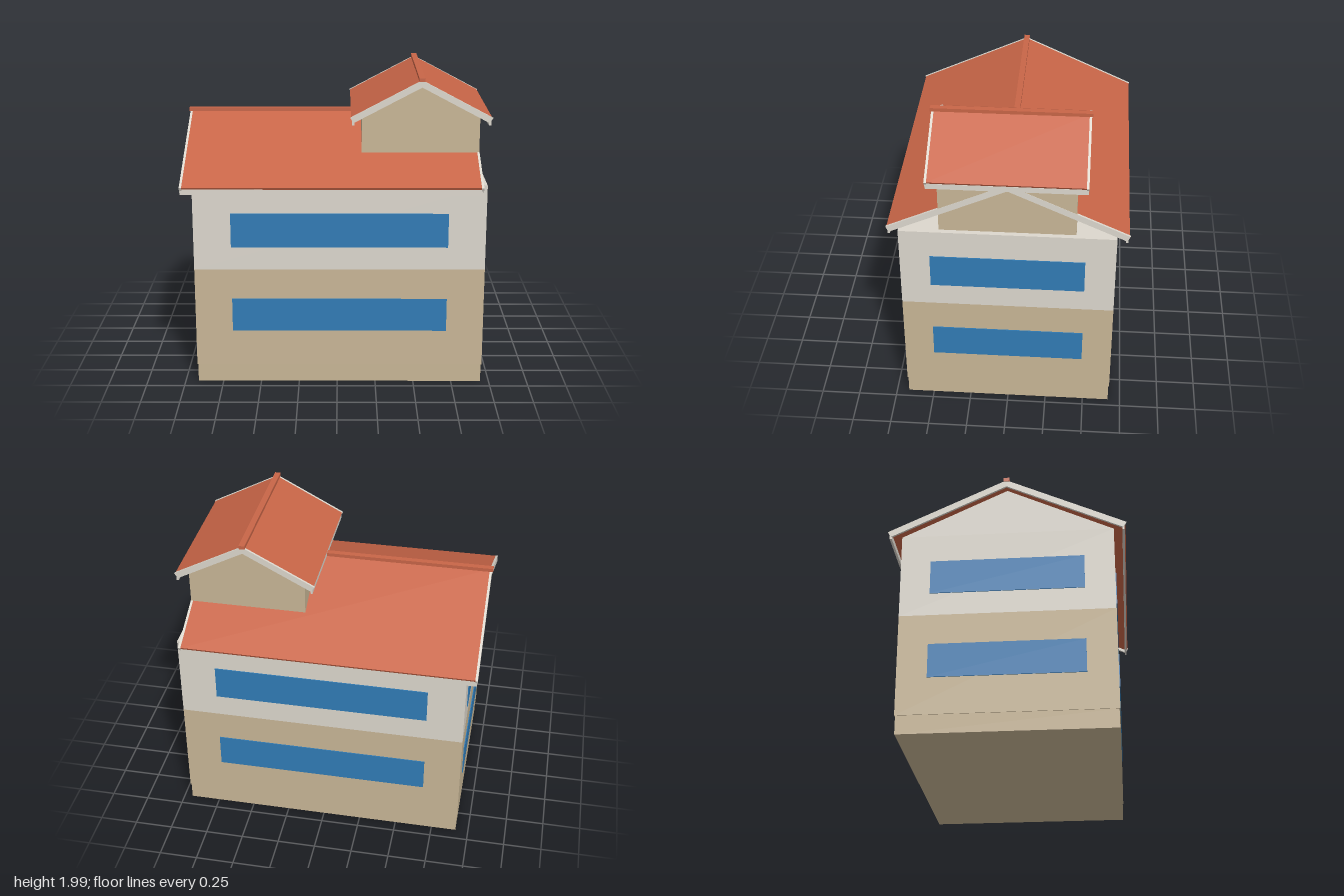
import * as THREE from 'three';

const mat = (name, color) => {
  const m = new THREE.MeshStandardMaterial({ color });
  m.name = name;
  return m;
};

export function createModel() {
  const house = new THREE.Group();
  house.name = 'house';
  const tan = mat('tan wall', 0xc8b696);
  const pale = mat('pale wall and trim', 0xdcd7cd);
  const red = mat('red roof', 0xc86547);
  const blue = mat('blue window', 0x317bb5);

  const add = (parent, name, geometry, material) => {
    const mesh = new THREE.Mesh(geometry, material);
    mesh.name = name;
    parent.add(mesh);
    return mesh;
  };
  // Box given by its limits on each axis
  const box = (parent, name, material, [x0, x1], [y0, y1], [z0, z1]) =>
    add(parent, name, new THREE.BoxGeometry(x1 - x0, y1 - y0, z1 - z0), material)
      .position.set((x0 + x1) / 2, (y0 + y1) / 2, (z0 + z1) / 2);
  // Outline in the local xy plane, extruded from z0 to z1
  const prism = (parent, name, material, points, z0, z1) => {
    const shape = new THREE.Shape(points.map(([x, y]) => new THREE.Vector2(x, y)));
    const geometry = new THREE.ExtrudeGeometry(shape, { depth: z1 - z0, bevelEnabled: false });
    add(parent, name, geometry.translate(0, 0, z0), material);
  };
  // Bent strip for a gable roof: half width, ridge height, eave height, thickness
  const chevron = (w, top, eave, t) => {
    const slope = (top - eave) / w;
    const inset = t * slope * 0.9;
    const low = top - t - (w - inset) * slope;
    return [[0, top], [-w, eave], [-w + inset, low], [0, top - t], [w - inset, low], [w, eave]];
  };

  // Gable roof along local z with trims, eave boards and ridge cap
  const gableRoof = (name, w, top, eave, z0, z1) => {
    const roof = new THREE.Group();
    roof.name = name;
    prism(roof, 'roofSheet', red, chevron(w - 0.005, top, eave, 0.022), z0 + 0.015, z1 - 0.015);
    const trim = chevron(w, top + 0.001, eave, 0.045);
    prism(roof, 'gableTrim', pale, trim, z0, z0 + 0.015);
    prism(roof, 'gableTrim', pale, trim, z1 - 0.015, z1);
    for (const s of [-1, 1]) {
      const x = s * (w - 0.019);
      box(roof, 'eaveBoard', pale, [x - 0.007, x + 0.007], [eave - 0.05, eave - 0.014], [z0 + 0.003, z1 - 0.003]);
    }
    box(roof, 'ridgeCap', red, [-0.019, 0.019], [top - 0.008, top + 0.015], [z0 - 0.008, z1 + 0.008]);
    house.add(roof);
    return roof;
  };

  // Main walls: slightly inset base, tan ground floor, pale upper floor
  box(house, 'base', tan, [-0.915, 0.945], [0, 0.12], [-0.67, 0.67]);
  box(house, 'lowerWalls', tan, [-0.92, 0.95], [0.12, 0.78], [-0.675, 0.675]);
  box(house, 'upperWalls', pale, [-0.92, 0.95], [0.78, 1.34], [-0.675, 0.675]);

  // Closed gable on one end of the main roof
  const gable = new THREE.Group();
  gable.name = 'mainGable';
  prism(gable, 'gableWall', pale, [[-0.675, 1.34], [0.675, 1.34], [0, 1.655]], -0.92, -0.9);
  gable.rotation.y = Math.PI / 2;
  house.add(gable);

  // Window bands on all four sides of both floors
  for (const [y0, y1] of [[0.36, 0.58], [0.93, 1.155]]) {
    for (const z of [-0.677, 0.677])
      box(house, 'longWindow', blue, [-0.68, 0.71], [y0, y1], [z - 0.004, z + 0.004]);
    for (const x of [-0.922, 0.952])
      box(house, 'endWindow', blue, [x - 0.004, x + 0.004], [y0, y1], [-0.485, 0.485]);
  }

  // Main roof, ridge running along x
  gableRoof('mainRoof', 0.755, 1.69, 1.345, -0.99, 0.92).rotation.y = Math.PI / 2;

  // Attic room with its own roof across the main ridge
  const attic = new THREE.Group();
  attic.name = 'attic';
  prism(attic, 'atticWalls', tan,
    [[-0.38, 1.34], [0.38, 1.34], [0.38, 1.735], [0, 1.935], [-0.38, 1.735]], -0.425, 0.425);
  attic.position.x = 0.538;
  house.add(attic);
  gableRoof('atticRoof', 0.455, 1.975, 1.735, -0.492, 0.492).position.x = 0.538;

  return house;
}
